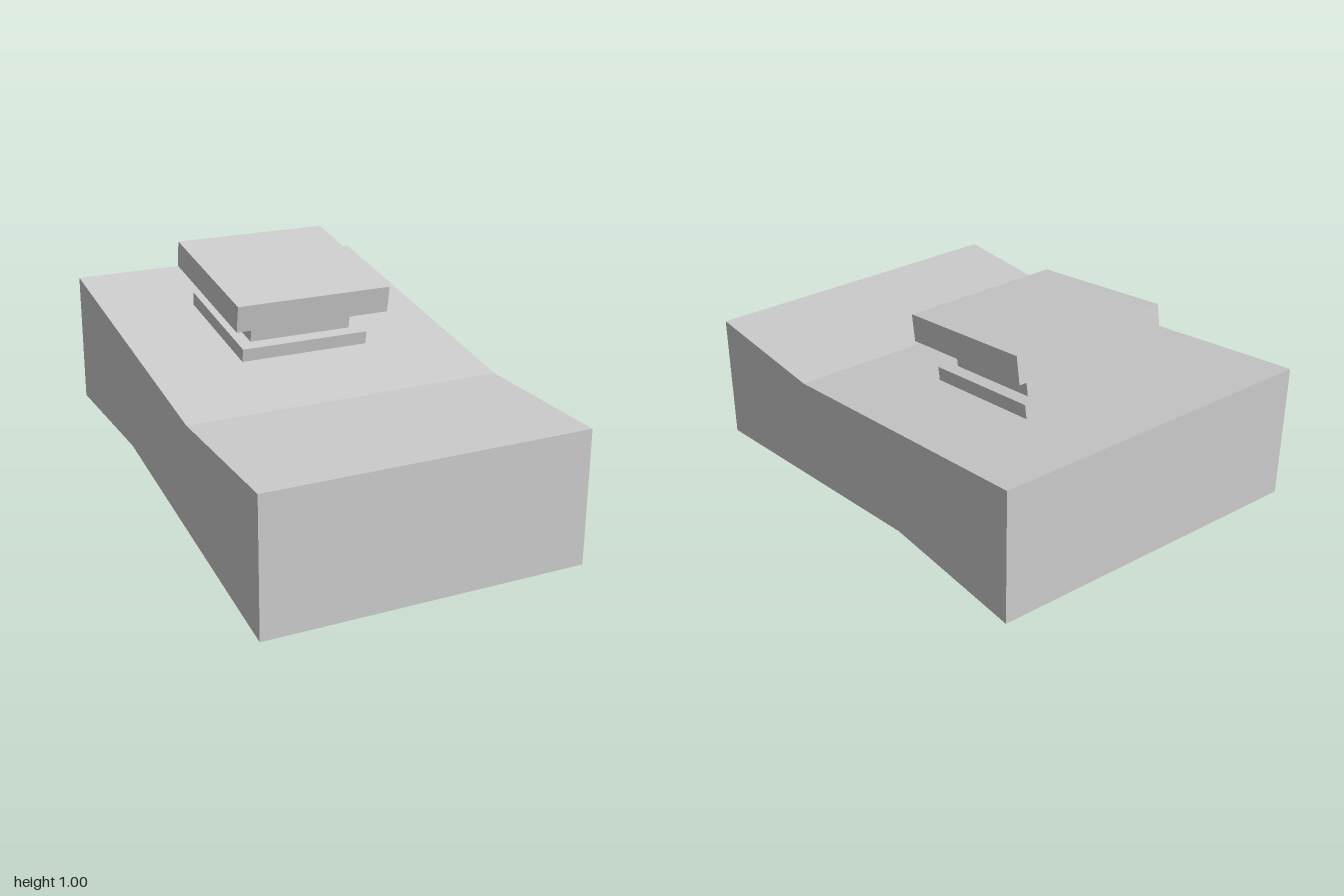
import * as THREE from 'three';

const HALF = 0.667; // half width of the base
const U = 1 / 9; // design unit

const solid = new THREE.MeshStandardMaterial({ color: 0xcccccc, flatShading: true });
const sheet = new THREE.MeshStandardMaterial({ color: 0xcccccc, flatShading: true, side: THREE.DoubleSide });

// Folded sheet: a [z, y] path swept across the full width, flat shaded per fold
function foldedSheet(name, path) {
  const pos = [];
  for (let i = 0; i < path.length - 1; i++) {
    const [az, ay] = path[i], [bz, by] = path[i + 1];
    pos.push(-HALF, ay, az, HALF, ay, az, HALF, by, bz);
    pos.push(-HALF, ay, az, HALF, by, bz, -HALF, by, bz);
  }
  const geo = new THREE.BufferGeometry();
  geo.setAttribute('position', new THREE.Float32BufferAttribute(pos, 3));
  geo.computeVertexNormals();
  const mesh = new THREE.Mesh(geo, sheet);
  mesh.name = name;
  return mesh;
}

// Box centred on the tilt axis, resting at the given height
function slab(name, size, bottom, height) {
  const mesh = new THREE.Mesh(new THREE.BoxGeometry(size, height, size), solid);
  mesh.position.y = bottom + height / 2;
  mesh.name = name;
  return mesh;
}

export function createModel() {
  const model = new THREE.Group();
  model.name = 'pedalBlock';

  // Hollow base, open underneath: front, flat top, ramp and back
  const base = new THREE.Group();
  base.name = 'base';
  const outline = [[1, 0], [1, 5 * U], [3 * U, 5 * U], [-1, 7 * U], [-1, 2 * U]];
  base.add(foldedSheet('shell', outline));

  // Side walls, closed by the underside kink
  const profile = [...outline, [-3 * U, 2 * U]].map(([z, y]) => new THREE.Vector2(-z, y));
  const wallGeo = new THREE.ShapeGeometry(new THREE.Shape(profile));
  for (const side of [1, -1]) {
    const wall = new THREE.Mesh(wallGeo, sheet);
    wall.name = side > 0 ? 'leftWall' : 'rightWall';
    wall.rotation.y = Math.PI / 2;
    wall.scale.z = side;
    wall.position.x = side * HALF;
    base.add(wall);
  }

  // Inner channel forming the two cross ribs
  base.add(foldedSheet('innerRibs', [[3 * U, 2 * U], [3 * U, 5 * U], [-3 * U, 5 * U], [-3 * U, 2 * U]]));
  model.add(base);

  // Tilted button standing square on the ramp
  const button = new THREE.Group();
  button.name = 'button';
  button.add(
    slab('collar', 5 * U, 0, U / 2),
    slab('stem', 4 * U, U / 2, U),
    slab('cap', 6 * U, 1.5 * U, U)
  );
  button.position.set(0, 6 * U, -3 * U);
  button.rotation.x = Math.atan2(2, 12);
  model.add(button);

  return model;
}
